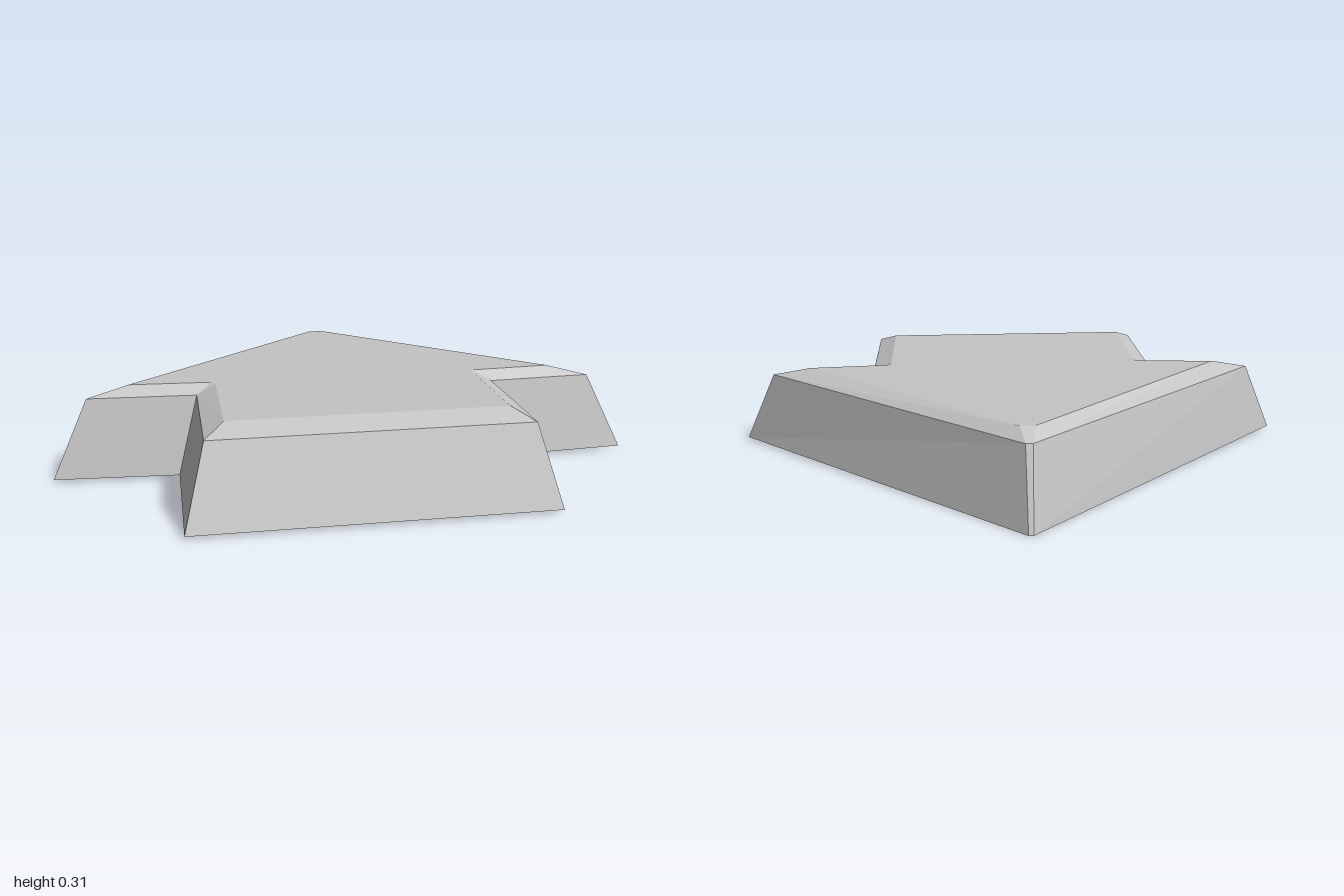
import * as THREE from 'three';

// Right half of each outline level, as [x, y, z]: tip, wing, notch (two points), shaft corner
const levels = [
  [[0.008, 0, -0.73], [1, 0.01, 0.195], [0.585, 0.01, 0.22], [0.585, 0.01, 0.22], [0.585, 0.01, 0.725]],
  [[0.012, 0.265, -0.645], [0.88, 0.27, 0.14], [0.515, 0.272, 0.165], [0.515, 0.272, 0.165], [0.515, 0.272, 0.635]],
  [[0.025, 0.298, -0.575], [0.74, 0.302, 0.105], [0.463, 0.303, 0.125], [0.45, 0.303, 0.145], [0.45, 0.305, 0.56]],
];

// Mirrors a half outline into a closed ring
function ring(half) {
  const right = half.map((p) => new THREE.Vector3(...p));
  const left = right.map((p) => new THREE.Vector3(-p.x, p.y, p.z)).reverse();
  return [...right, ...left];
}

// Adds a triangle unless it has no area
function addTriangle(out, a, b, c) {
  if (new THREE.Triangle(a, b, c).getArea() < 1e-7) return;
  for (const p of [a, b, c]) out.push(p.x, p.y, p.z);
}

// Band of faces between two rings
function band(lower, upper) {
  const out = [];
  lower.forEach((a, i) => {
    const j = (i + 1) % lower.length;
    addTriangle(out, a, upper[i], lower[j]);
    addTriangle(out, lower[j], upper[i], upper[j]);
  });
  return out;
}

// Flat lid over a ring, facing up (1) or down (-1)
function cap(points, facing) {
  const out = [];
  const outline = points.filter((p, i) => i === 0 || p.distanceTo(points[i - 1]) > 1e-5);
  const flat = outline.map((p) => new THREE.Vector2(p.x, p.z));
  for (const face of THREE.ShapeUtils.triangulateShape(flat, [])) {
    const [a, b, c] = face.map((i) => outline[i]);
    const normal = new THREE.Triangle(a, b, c).getNormal(new THREE.Vector3());
    if (normal.y * facing > 0) addTriangle(out, a, b, c);
    else addTriangle(out, a, c, b);
  }
  return out;
}

export function createModel() {
  const group = new THREE.Group();
  group.name = 'arrowBlock';
  const grey = new THREE.MeshStandardMaterial({ color: 0xc4c4c4 });
  grey.name = 'light grey';

  const [bottom, shoulder, top] = levels.map(ring);
  const parts = {
    slopedSides: band(bottom, shoulder),
    bevel: band(shoulder, top),
    topFace: cap(top, 1),
    underside: cap(bottom, -1),
  };
  for (const [name, positions] of Object.entries(parts)) {
    const geometry = new THREE.BufferGeometry();
    geometry.setAttribute('position', new THREE.Float32BufferAttribute(positions, 3));
    geometry.computeVertexNormals(); // unshared corners give flat faces
    const mesh = new THREE.Mesh(geometry, grey);
    mesh.name = name;
    group.add(mesh);
  }
  return group;
}
